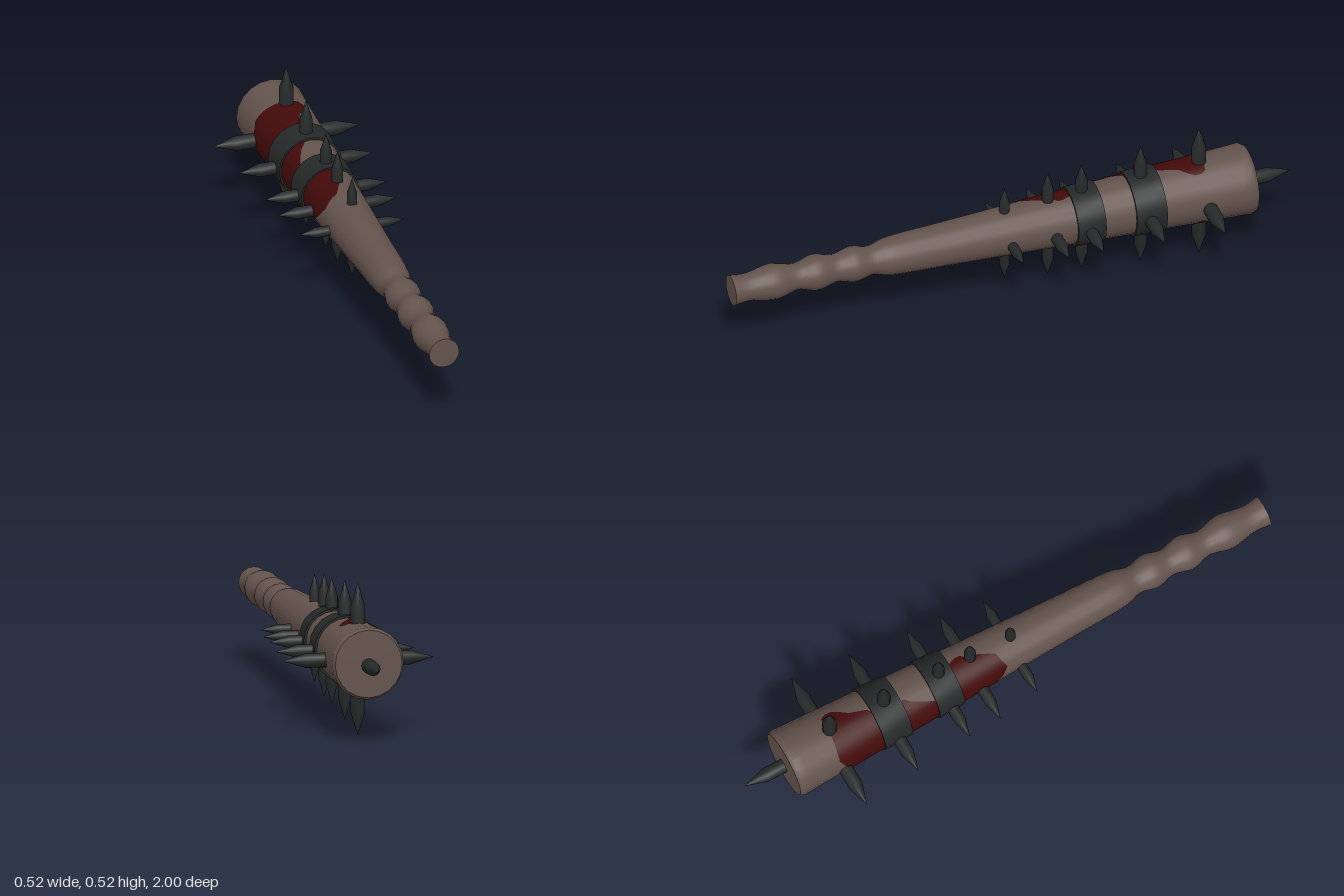
import * as THREE from 'three';
import { toCreasedNormals } from 'three/addons/utils/BufferGeometryUtils.js';

const wood = new THREE.MeshStandardMaterial({ color: 0x64534d });
wood.name = 'wood';
const iron = new THREE.MeshStandardMaterial({ color: 0x262929 });
iron.name = 'darkIron';
const stain = new THREE.MeshStandardMaterial({ color: 0x430a0a, side: THREE.DoubleSide });
stain.name = 'darkRedStain';

const AXIS_Y = 0.271; // height of the club's axis
const SPIKE_Y = 0.262; // height the spikes radiate from

// Radius of the tapered barrel at a given z
const barrelRadius = (z) => 0.066 + (0.43 - z) * 0.0445;

// Turned solid from [radius, height] points
function turned(points, sides) {
  const profile = points.map(([r, h]) => new THREE.Vector2(r, h));
  return toCreasedNormals(new THREE.LatheGeometry(profile, sides), 0.65);
}

// Turned solid lying along z
const turnedAlongZ = (points, sides) => turned(points, sides).rotateX(Math.PI / 2);

function named(name, geometry, material) {
  const mesh = new THREE.Mesh(geometry, material);
  mesh.name = name;
  return mesh;
}

// Barrel and wavy grip in one turned piece
function makeClub() {
  const grip = new THREE.SplineCurve([
    [0.074, 0.25], [0.066, 0.43], [0.050, 0.50], [0.061, 0.565], [0.048, 0.63],
    [0.062, 0.70], [0.046, 0.77], [0.062, 0.85], [0.048, 0.94], [0.053, 1.0],
  ].map(([r, z]) => new THREE.Vector2(r, z)));
  const points = [[0, -0.85], [0.115, -0.848], [0.123, -0.835], [barrelRadius(-0.8), -0.8]];
  for (const p of grip.getPoints(54)) points.push([p.x, p.y]);
  points.push([0, 1.0]);
  return turnedAlongZ(points, 20);
}

// Iron hoop around the barrel between two z values
function makeBand(z0, z1) {
  const t = 0.008;
  const r0 = barrelRadius(z0), r1 = barrelRadius(z1);
  return turnedAlongZ([[r0 - 0.01, z0], [r0 + t, z0], [r1 + t, z1], [r1 - 0.01, z1]], 20);
}

// Stain hugging the barrel; stations are [angle in degrees, z start, z end]
function makeStain(stations) {
  const positions = [], index = [];
  const steps = 6;
  let row = 0;
  for (let s = 0; s < stations.length - 1; s++) {
    for (let k = s ? 1 : 0; k <= steps; k++) {
      const [a, z0, z1] = stations[s].map((v, i) => THREE.MathUtils.lerp(v, stations[s + 1][i], k / steps));
      const angle = THREE.MathUtils.degToRad(a);
      for (const z of [z0, z1]) {
        const r = barrelRadius(z) + 0.0015;
        positions.push(Math.cos(angle) * r, Math.sin(angle) * r, z);
      }
      if (row > 0) {
        const i = row * 2;
        index.push(i - 2, i, i - 1, i, i + 1, i - 1);
      }
      row++;
    }
  }
  const geometry = new THREE.BufferGeometry();
  geometry.setAttribute('position', new THREE.Float32BufferAttribute(positions, 3));
  // Reverse winding so the faces point away from the axis
  for (let i = 0; i < index.length; i += 3) [index[i + 1], index[i + 2]] = [index[i + 2], index[i + 1]];
  geometry.setIndex(index);
  geometry.computeVertexNormals();
  return geometry;
}

export function createModel() {
  const model = new THREE.Group();
  model.name = 'spikedClub';

  // Wooden body with its hoops and stains
  const body = new THREE.Group();
  body.name = 'body';
  body.position.y = AXIS_Y;
  body.add(named('woodenClub', makeClub(), wood));
  body.add(named('frontBand', makeBand(-0.305, -0.207), iron));
  body.add(named('rearBand', makeBand(-0.52, -0.413), iron));
  const stains = {
    tipStain: [
      [61, -0.66, -0.64], [67, -0.68, -0.62], [80, -0.68, -0.59], [90, -0.66, -0.53],
      [100, -0.68, -0.515], [150, -0.69, -0.515], [180, -0.66, -0.515], [210, -0.68, -0.53],
      [235, -0.66, -0.57], [270, -0.66, -0.60], [305, -0.67, -0.62], [328, -0.655, -0.645],
    ],
    middleStain: [
      [105, -0.42, -0.40], [115, -0.42, -0.38], [124, -0.42, -0.35], [138, -0.42, -0.30],
      [180, -0.42, -0.30], [205, -0.41, -0.32], [216, -0.38, -0.35],
    ],
    frontStain: [
      [77, -0.18, -0.16], [84, -0.21, -0.15], [93, -0.21, -0.10], [109, -0.21, -0.05],
      [130, -0.21, -0.04], [150, -0.21, -0.03], [175, -0.21, -0.06], [195, -0.20, -0.10],
      [208, -0.17, -0.14],
    ],
  };
  for (const [name, stations] of Object.entries(stains)) body.add(named(name, makeStain(stations), stain));
  model.add(body);

  // Rings of four spikes, longer toward the thick end: [z, reach]
  const spike = turned([[0, 0.05], [0.025, 0.05], [0.025, 0.18], [0, 0.26]], 12);
  const rings = [[0.023, 0.185], [-0.132, 0.21], [-0.253, 0.216], [-0.464, 0.238], [-0.673, 0.26]];
  rings.forEach(([z, reach], n) => {
    const ring = new THREE.Group();
    ring.name = `spikeRing${n + 1}`;
    ring.position.set(0, SPIKE_Y, z);
    for (let i = 0; i < 4; i++) {
      const mesh = named('sideSpike', spike, iron);
      mesh.scale.setScalar(reach / 0.26);
      mesh.rotation.z = (i * Math.PI) / 2;
      ring.add(mesh);
    }
    model.add(ring);
  });

  // Spike in the middle of the thick end
  const endSpike = named('endSpike', spike, iron);
  endSpike.rotation.x = -Math.PI / 2;
  endSpike.position.set(0, 0.265, -0.74);
  model.add(endSpike);

  return model;
}
